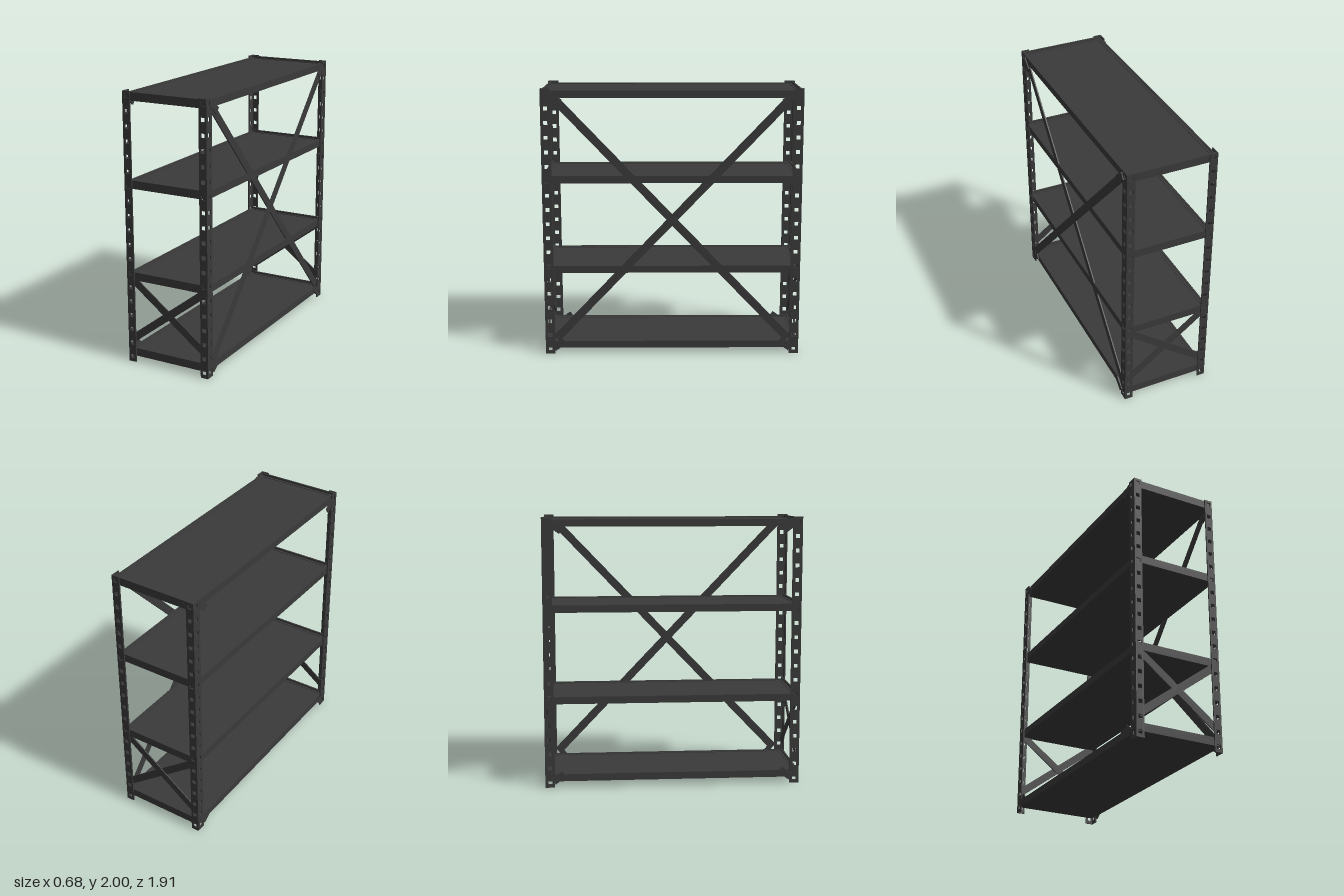
import * as THREE from 'three';

const W = 0.333, D = 0.953, T = 0.009; // half width, half depth, sheet thickness
const steel = new THREE.MeshStandardMaterial({ color: 0x3a3a3a });

function mesh(name, geometry, x, y, z) {
  const m = new THREE.Mesh(geometry, steel);
  m.name = name;
  m.position.set(x, y, z);
  return m;
}
const box = (name, w, h, d, x, y, z) => mesh(name, new THREE.BoxGeometry(w, h, d), x, y, z);

// Tall strip with a row of square holes, centred on x and z, standing on y = 0
function perforatedStrip(width) {
  const s = new THREE.Shape();
  s.moveTo(-width / 2, 0).lineTo(width / 2, 0).lineTo(width / 2, 2).lineTo(-width / 2, 2);
  const h = 0.015;
  for (let i = 0; i < 19; i++) {
    const y = 0.04 + i * 0.107;
    const hole = new THREE.Path();
    hole.moveTo(-h, y - h).lineTo(-h, y + h).lineTo(h, y + h).lineTo(h, y - h);
    s.holes.push(hole);
  }
  return new THREE.ExtrudeGeometry(s, { depth: T, bevelEnabled: false }).translate(0, 0, -T / 2);
}

// Flat bar between two points of the xy plane
function bar(x0, y0, x1, y1, width, depth) {
  const g = new THREE.BoxGeometry(Math.hypot(x1 - x0, y1 - y0), width, depth);
  return g.rotateZ(Math.atan2(y1 - y0, x1 - x0)).translate((x0 + x1) / 2, (y0 + y1) / 2, 0);
}

export function createModel() {
  const root = new THREE.Group();
  root.name = 'shelvingRack';
  const body = new THREE.Group();
  body.name = 'rack';
  body.position.x = -0.004;
  root.add(body);

  // Angle posts with punched flanges
  const endFlange = perforatedStrip(0.06);
  const sideFlange = perforatedStrip(0.072).rotateY(Math.PI / 2);
  for (const sx of [-1, 1]) for (const sz of [-1, 1]) {
    const post = new THREE.Group();
    post.name = 'cornerPost';
    post.add(
      mesh('endFlange', endFlange, sx * (W - 0.03), 0, sz * (D - T / 2)),
      mesh('sideFlange', sideFlange, sx * (W - T / 2), 0, sz * (D - 0.036)));
    body.add(post);
  }

  // Shelves: recessed panel inside a rim of beams
  const x = W - T, z = D - T;
  for (const y of [0.045, 0.63, 1.308, 1.932]) {
    const shelf = new THREE.Group();
    shelf.name = 'shelf';
    shelf.position.y = y;
    shelf.add(box('panel', 2 * x - 0.02, 0.042, 2 * z - 0.02, 0, 0.023, 0));
    for (const s of [-1, 1]) {
      shelf.add(
        box('endBeam', 2 * x, 0.06, 0.014, 0, 0.032, s * (z - 0.007)),
        box('sideBeam', 0.014, 0.053, 2 * z - 0.028, s * (x - 0.007), 0.0265, 0),
        box('sideLip', 0.03, 0.004, 2 * z - 0.03, s * (x - 0.018), 0.046, 0),
        box('endLip', 2 * x - 0.03, 0.004, 0.03, 0, 0.046, s * (z - 0.018)));
    }
    body.add(shelf);
  }

  // Short cross braces at both ends
  for (const sz of [-1, 1]) for (const s of [-1, 1]) {
    body.add(mesh('endBrace', bar(-0.31 * s, 0.17, 0.31 * s, 0.64, 0.056, 0.008),
      0, 0, sz * (D - T - 0.005 - (s > 0 ? 0 : 0.008))));
  }

  // Long cross brace on the left side
  for (const s of [-1, 1]) {
    const g = bar(-0.87 * s, 0.12, 0.87 * s, 1.945, 0.06, 0.009).rotateY(Math.PI / 2);
    body.add(mesh('sideBrace', g, W - 0.005 - (s > 0 ? 0 : 0.009), 0, 0));
  }

  // Tilted corner plates on both long sides
  for (const sx of [-1, 1]) for (const sz of [-1, 1]) for (const top of [true, false]) {
    const y = top ? 1.93 : 0.075, dy = top ? 0.03 : -0.03;
    const g = bar(-sz * 0.89, y + dy, -sz * 0.81, y - dy, 0.05, 0.008).rotateY(Math.PI / 2);
    body.add(mesh('cornerPlate', g, sx * (W + 0.002), 0, 0));
  }
  return root;
}
